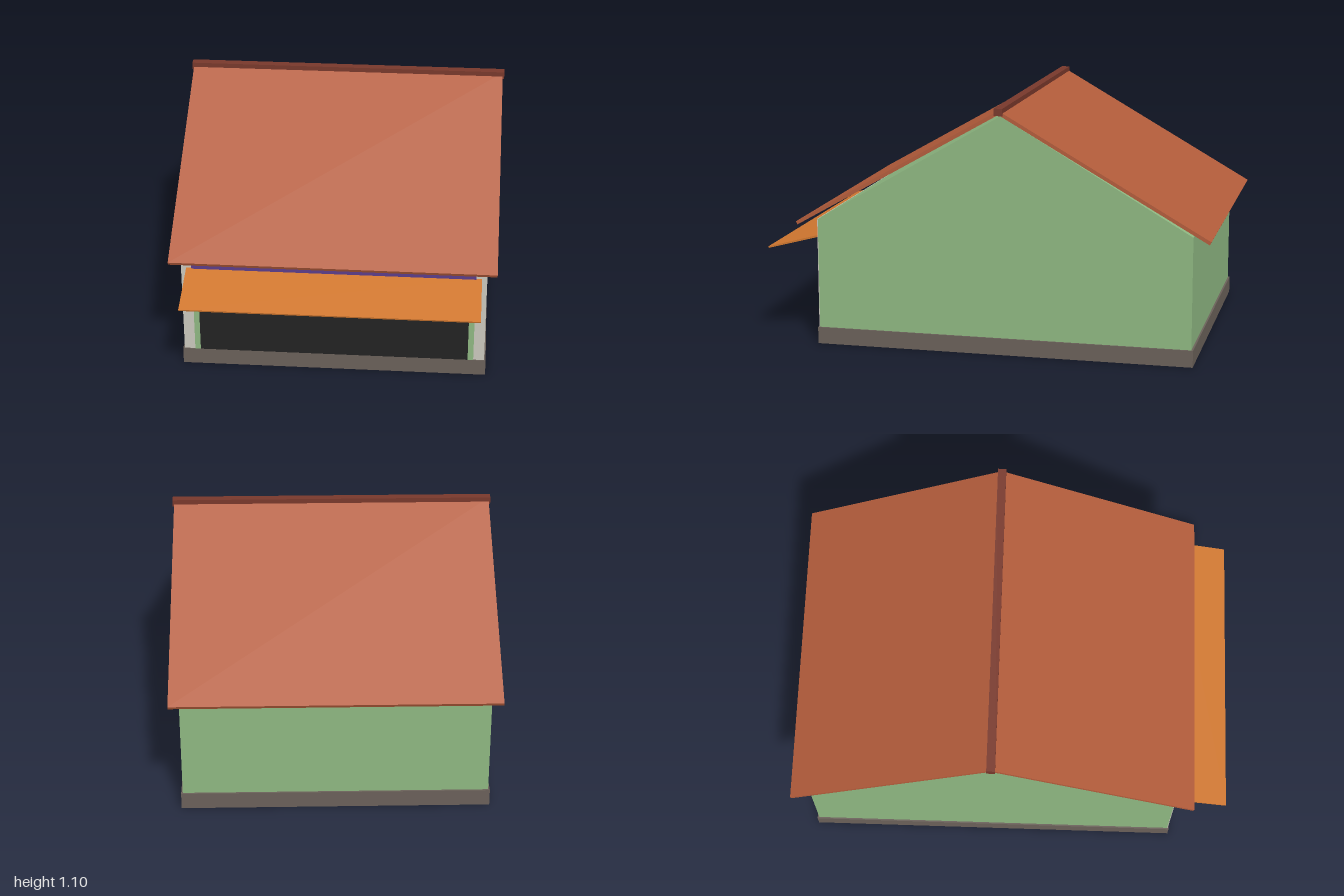
import * as THREE from 'three';

const mat = (name, color, side = THREE.FrontSide) => {
  const m = new THREE.MeshStandardMaterial({ color, side });
  m.name = name;
  return m;
};

export function createModel() {
  const group = new THREE.Group();
  const green = mat('green wall', 0x8eb781);
  const grey = mat('pale facade', 0xcac7bd);
  const stone = mat('stone base', 0x6a6059, THREE.DoubleSide);
  const tile = mat('roof tile', 0xb35c3b);
  const ridgeRed = mat('ridge red', 0x78382b);
  const orange = mat('awning orange', 0xd0772f);
  const purple = mat('sign purple', 0x5c3d88);
  const black = mat('opening black', 0x222222);
  const steel = mat('shutter steel', 0x858c92);

  const add = (name, geo, material) => {
    const mesh = new THREE.Mesh(geo, material);
    mesh.name = name;
    group.add(mesh);
    return mesh;
  };
  // Box given by its minimum and maximum corners
  const box = (name, material, [x0, y0, z0], [x1, y1, z1]) => {
    const geo = new THREE.BoxGeometry(x1 - x0, y1 - y0, z1 - z0);
    geo.translate((x0 + x1) / 2, (y0 + y1) / 2, (z0 + z1) / 2);
    return add(name, geo, material);
  };
  // Side profile of [z, y] points extruded across the width
  const profile = (name, material, points, width) => {
    const shape = new THREE.Shape(points.map(([z, y]) => new THREE.Vector2(z, y)));
    const geo = new THREE.ExtrudeGeometry(shape, { depth: width, bevelEnabled: false });
    geo.translate(0, 0, -width / 2).rotateY(-Math.PI / 2);
    return add(name, geo, material);
  };

  // Base: hollow plinth, open underneath (bottom face dropped)
  const base = box('base', stone, [-0.675, 0, -0.928], [0.675, 0.075, 0.762]).geometry;
  const index = Array.from(base.index.array);
  index.splice(18, 6);
  base.setIndex(index);
  base.clearGroups();

  // Gabled body
  profile('walls', green,
    [[-0.92, 0.075], [0.755, 0.075], [0.755, 0.57], [-0.08, 1.06], [-0.92, 0.57]], 1.336);

  // Front: pale facade, green door frame, dark opening
  box('facade', grey, [-0.668, 0.075, 0.755], [0.668, 0.57, 0.758]);
  box('doorFrame', green, [-0.62, 0.075, 0.758], [0.62, 0.5, 0.761]);
  box('opening', black, [-0.595, 0.076, 0.761], [0.595, 0.488, 0.763]);

  // Half-raised shutter: slats over a thin bottom bar
  for (let i = 0; i < 4; i++) {
    const y = 0.319 + i * 0.039;
    box('shutterSlat', steel, [-0.59, y, 0.763], [0.59, y + 0.03, 0.768]);
  }
  box('shutterBottomBar', steel, [-0.59, 0.292, 0.763], [0.59, 0.308, 0.768]);

  // Sign board and sloping awning
  box('signBoard', purple, [-0.62, 0.497, 0.758], [0.62, 0.555, 0.773]);
  profile('awning', orange, [[0.758, 0.484], [0.998, 0.42], [1, 0.427], [0.758, 0.493]], 1.29);

  // Two roof slabs mirrored about the ridge line
  for (const s of [1, -1]) {
    const pts = [[0, 1.072], [0.915, 0.55], [0.922, 0.564], [0, 1.09]];
    profile(s > 0 ? 'frontRoof' : 'backRoof', tile,
      pts.map(([d, y]) => [-0.08 + s * d, y]), 1.42);
  }
  box('ridgeCap', ridgeRed, [-0.717, 1.068, -0.099], [0.717, 1.1, -0.061]);

  return group;
}
